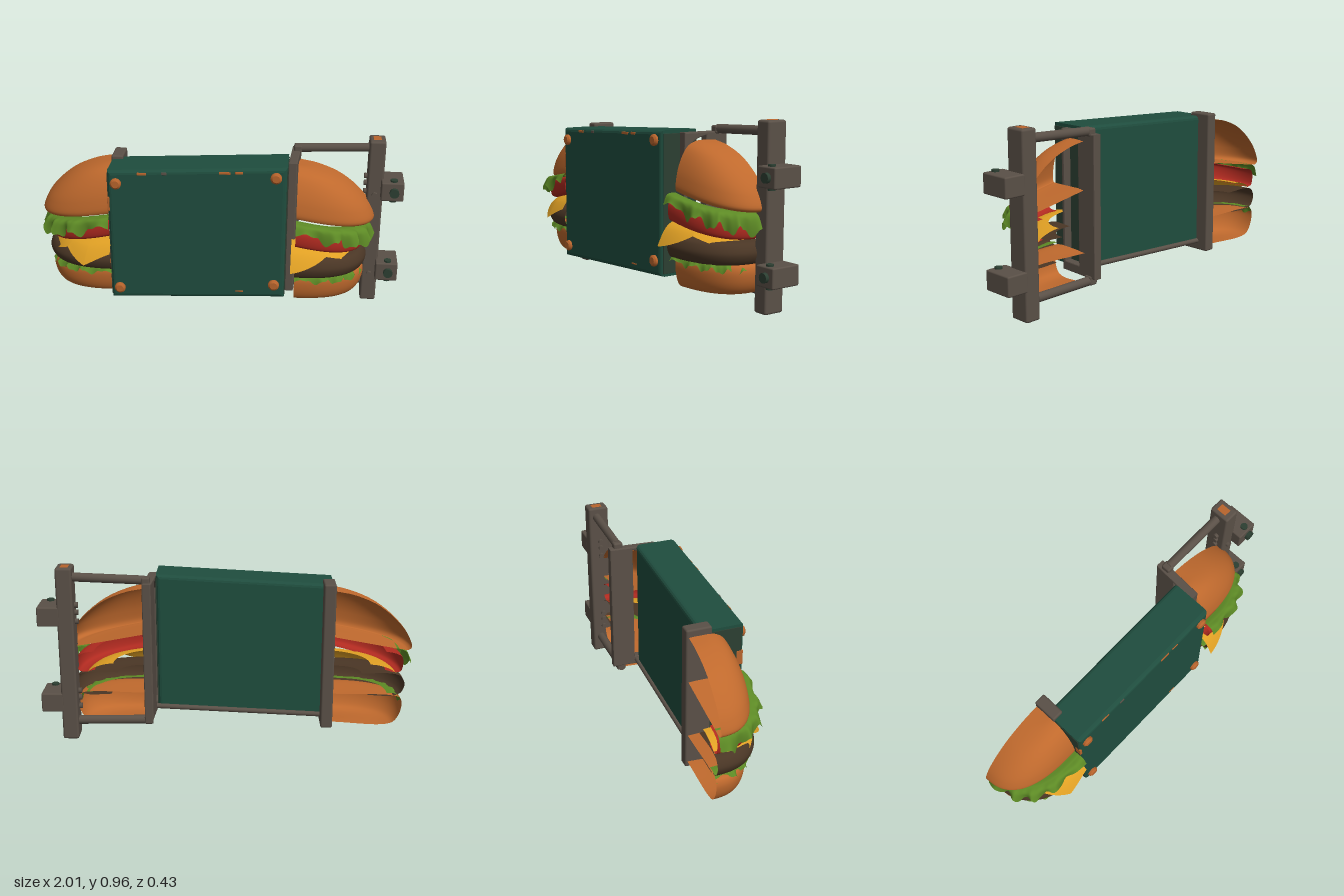
import * as THREE from 'three';
import { RoundedBoxGeometry } from 'three/addons/geometries/RoundedBoxGeometry.js';
import { ParametricGeometry } from 'three/addons/geometries/ParametricGeometry.js';

const paint = (name, color, side = THREE.FrontSide) => {
  const m = new THREE.MeshStandardMaterial({ color, side });
  m.name = name;
  return m;
};

export function createModel() {
  const model = new THREE.Group();
  model.name = 'burgerSign';
  const two = THREE.DoubleSide;
  const green = paint('board green', 0x1f4d3e);
  const grime = paint('grimy green', 0x2c3f32);
  const steel = paint('weathered steel', 0x5a5047);
  const rust = paint('rust', 0xb8642c);
  const bun = paint('bun', 0xbf692d, two);
  const lettuce = paint('lettuce', 0x5d8a25, two);
  const tomato = paint('tomato', 0xb02a20, two);
  const cheese = paint('cheese', 0xe0a024, two);
  const patty = paint('patty', 0x4a3625, two);

  const add = (name, geometry, material, parent = model) => {
    const mesh = new THREE.Mesh(geometry, material);
    mesh.name = name;
    parent.add(mesh);
    return mesh;
  };
  // Rounded box given by its limits on each axis
  const box = (name, mat, [x0, x1], [y0, y1], [z0, z1], r = 0.01) => {
    const m = add(name, new RoundedBoxGeometry(x1 - x0, y1 - y0, z1 - z0, 2, r), mat);
    m.position.set((x0 + x1) / 2, (y0 + y1) / 2, (z0 + z1) / 2);
  };
  // Cylinder between two points
  const rod = (name, mat, a, b, r, sides = 16, tip = r) => {
    const p = new THREE.Vector3(...a), q = new THREE.Vector3(...b);
    const m = add(name, new THREE.CylinderGeometry(tip, r, p.distanceTo(q), sides), mat);
    m.position.copy(p).lerp(q, 0.5);
    m.quaternion.setFromUnitVectors(new THREE.Vector3(0, 1, 0), q.sub(p).normalize());
  };

  // Slanted board with bevelled edges
  const b = 0.022;
  const outline = new THREE.Shape([
    [-0.578 + b, 0.083 + b], [0.378 - b, 0.13 + b], [0.378 - b, 0.892 - b], [-0.578 + b, 0.842 - b],
  ].map(p => new THREE.Vector2(...p)));
  const board = add('board', new THREE.ExtrudeGeometry(outline, {
    depth: 0.235 - 2 * b, bevelThickness: b, bevelSize: b, bevelSegments: 3,
  }), green);
  board.position.z = -0.065 + b;

  // Grimy end faces of the board
  box('boardEnd', grime, [0.374, 0.3805], [0.145, 0.875], [-0.055, 0.156], 0.002);
  box('boardEnd', grime, [-0.5805, -0.574], [0.1, 0.826], [-0.055, 0.156], 0.002);

  // Corner bolts with domed heads
  for (const [x, y] of [[-0.53, 0.775], [0.32, 0.84], [0.32, 0.21], [-0.53, 0.15]]) {
    rod('boardBolt', rust, [x, y, 0.16], [x, y, 0.182], 0.03, 20);
    rod('boardBoltHead', rust, [x, y, 0.182], [x, y, 0.19], 0.03, 20, 0.02);
  }

  // Worn chips along the board edges
  for (const [x, w, mat] of [[-0.39, 0.05, rust], [-0.27, 0.03, steel], [0.05, 0.06, rust], [0.125, 0.04, rust]]) {
    const y = 0.872 + 0.0523 * x;
    box('edgeChip', mat, [x - w / 2, x + w / 2], [y - 0.026, y - 0.012], [0.16, 0.1715], 0.002);
  }
  box('edgeChip', rust, [0.11, 0.155], [0.155, 0.163], [0.163, 0.1715], 0.002);
  box('edgeChip', rust, [-0.582, -0.566], [0.61, 0.69], [0.13, 0.165], 0.002);

  // Outer end post with a foot under the board
  box('outerBoardPost', steel, [-0.585, -0.52], [0.05, 0.862], [-0.142, -0.005]);
  box('outerPostFoot', steel, [-0.585, -0.52], [0.045, 0.09], [-0.142, 0.06]);

  // Inner end frame, open in the middle behind the food, leaning slightly
  const frame = new THREE.Shape([[-0.05, 0.121], [0.204, 0.121], [0.204, 0.872], [-0.05, 0.872]]
    .map(p => new THREE.Vector2(...p)));
  const opening = new THREE.Path();
  opening.moveTo(-0.04, 0.16);
  opening.lineTo(-0.04, 0.8);
  opening.quadraticCurveTo(0, 0.855, 0.085, 0.865);
  opening.lineTo(0.085, 0.16);
  frame.holes.push(opening);
  const frameGeometry = new THREE.ExtrudeGeometry(frame, {
    depth: 0.036, bevelThickness: 0.006, bevelSize: 0.006, bevelSegments: 2,
  }).rotateY(Math.PI / 2).translate(0.386, 0, 0);
  const fp = frameGeometry.attributes.position;
  for (let i = 0; i < fp.count; i++) fp.setX(i, fp.getX(i) - 0.06 * fp.getZ(i));
  add('innerEndFrame', frameGeometry, steel);
  rod('backRail', steel, [-0.54, 0.098, -0.068], [0.4, 0.145, -0.068], 0.014);

  // Hanging frame
  box('mountPost', steel, [0.805, 0.892], [0, 0.962], [-0.206, -0.088], 0.012);
  rod('upperRod', steel, [0.43, 0.89, -0.158], [0.82, 0.906, -0.158], 0.024);
  box('upperRodSeat', steel, [0.4, 0.445], [0.865, 0.908], [-0.185, -0.132]);
  rod('lowerRod', steel, [0.4, 0.101, -0.158], [0.82, 0.096, -0.158], 0.024);
  box('lowerRodSeat', steel, [0.4, 0.445], [0.08, 0.13], [-0.185, -0.132]);
  box('postRust', rust, [0.825, 0.868], [0.956, 0.9635], [-0.178, -0.12], 0.002);
  for (const y of [0.697, 0.212]) {
    box('wallBracket', steel, [0.878, 1.0], [y - 0.053, y + 0.053], [-0.206, -0.032], 0.008);
    rod('bracketBolt', grime, [0.948, y, -0.04], [0.948, y, -0.012], 0.026, 12);
    rod('bracketPin', grime, [0.945, y - 0.063, -0.063], [0.945, y + 0.063, -0.063], 0.02, 12);
    rod('postBolt', steel, [0.847, y - 0.04, -0.095], [0.847, y - 0.04, -0.072], 0.016, 8);
    for (const dy of [-0.04, 0.01, 0.05])
      rod('postStud', steel, [0.788, y + dy, -0.14], [0.812, y + dy, -0.14], 0.016, 8);
  }

  // One quarter-round burger layer: the profile [radius, height] sweeps from front to outer side.
  // round: squareness of the plan; bulge: fullness toward the front
  function layer(parent, name, mat, side, x0, rx, rz, profile, tilt, { hem, round = 0.8, bulge = 1 } = {}) {
    const curve = new THREE.CatmullRomCurve3(
      profile.map(([r, y]) => new THREE.Vector3(r, y, 0)), false, 'centripetal');
    const p = new THREE.Vector3();
    add(name, new ParametricGeometry((u, v, out) => {
      const a = u * Math.PI / 2;
      curve.getPoint(v, p);
      const [dr, dy] = hem ? hem(a, v) : [0, 0];
      const r = p.x + dr;
      const dx = rx * r * Math.pow(Math.max(0, Math.sin(a)), round);
      const dz = rz * Math.pow(r, bulge) * Math.pow(Math.max(0, Math.cos(a)), round);
      out.set(x0 + side * dx, p.y + dy - tilt * dx, -0.13 + dz);
    }, hem ? 120 : 36, 36), mat, parent);
  }

  // Wavy leaf edge, growing toward the rim and hanging lower at the outer side
  const ruffle = (n, size) => (a, v) => {
    const w = Math.max(0, (v - 0.3) / 0.7) ** 2;
    const wave = Math.sin(n * a) + 0.4 * Math.sin(2.3 * n * a) - 0.7 * a;
    return [w * size * 2 * Math.sin(n * a + 1), w * size * wave];
  };
  // Drooping corners of the cheese slice
  const droop = (tips) => (a, v) => {
    const w = Math.max(0, (v - 0.4) / 0.6);
    let d = 0;
    for (const [t, amount] of tips) d = Math.max(d, amount * Math.max(0, 1 - Math.abs(a - t) / 0.5));
    return [0.16 * d * w, -0.085 * d * w * w];
  };

  const topProfile = [[0.02, 0.825], [0.26, 0.822], [0.57, 0.787], [0.83, 0.712], [0.95, 0.65],
    [1, 0.595], [0.97, 0.575], [0.85, 0.57], [0.02, 0.57]];
  const bottomProfile = [[0.02, 0.245], [0.9, 0.245], [0.98, 0.23], [1, 0.2], [0.98, 0.15],
    [0.91, 0.1], [0.78, 0.077], [0.02, 0.08]];
  const pattyProfile = [[0.4, 0.365], [0.85, 0.365], [0.96, 0.345], [1, 0.305], [0.96, 0.262],
    [0.85, 0.24], [0.5, 0.24]];
  const tomatoProfile = [[0.75, 0.555], [0.92, 0.555], [0.99, 0.54], [1, 0.505], [0.98, 0.468],
    [0.9, 0.45], [0.75, 0.45]];
  const lift = (profile, dy) => profile.map(([r, y]) => [r, y + dy]);

  // Half burgers on both sides of the board
  const halves = [
    { name: 'rightHalfBurger', side: -1, x0: -0.578, rx: 0.422, bunLift: 0, tomLift: 0, tomTilt: 0.23,
      cheeseX: -0.578, tips: [[0.28, 1.1], [1.0, 0.5]] },
    { name: 'leftHalfBurger', side: 1, x0: 0.43, rx: 0.425, bunLift: 0.012, tomLift: -0.018, tomTilt: 0.19,
      cheeseX: 0.408, tips: [[0, 1.1], [0.95, 0.35]] },
  ];
  for (const h of halves) {
    const g = new THREE.Group();
    g.name = h.name;
    model.add(g);
    const put = (name, mat, rx, rz, profile, tilt, options, x0 = h.x0) =>
      layer(g, name, mat, h.side, x0, rx, rz, profile, tilt, options);
    put('topBun', bun, h.rx, 0.25, lift(topProfile, h.bunLift), 0.18, { bulge: 0.55 });
    put('upperLettuce', lettuce, h.rx * 0.97, 0.315,
      lift([[0.78, 0.57], [0.88, 0.573], [0.97, 0.56], [1, 0.515]], h.bunLift / 2), 0.19,
      { hem: ruffle(17, 0.024), round: 0.72 });
    put('tomato', tomato, 0.38, 0.297, lift(tomatoProfile, h.tomLift), h.tomTilt);
    put('cheese', cheese, 0.34, 0.29,
      [[0.6, 0.436], [0.75, 0.434], [0.92, 0.42], [1.02, 0.4]], 0.1, { hem: droop(h.tips) }, h.cheeseX);
    put('patty', patty, 0.394, 0.302, pattyProfile, 0.01);
    put('lowerLettuce', lettuce, 0.374, 0.283,
      [[0.8, 0.254], [0.88, 0.254], [0.95, 0.248], [1, 0.226]], 0.01, { hem: ruffle(20, 0.013) });
    put('bottomBun', bun, 0.384, 0.248, bottomProfile, h.side < 0 ? 0.03 : -0.01);
  }
  return model;
}
